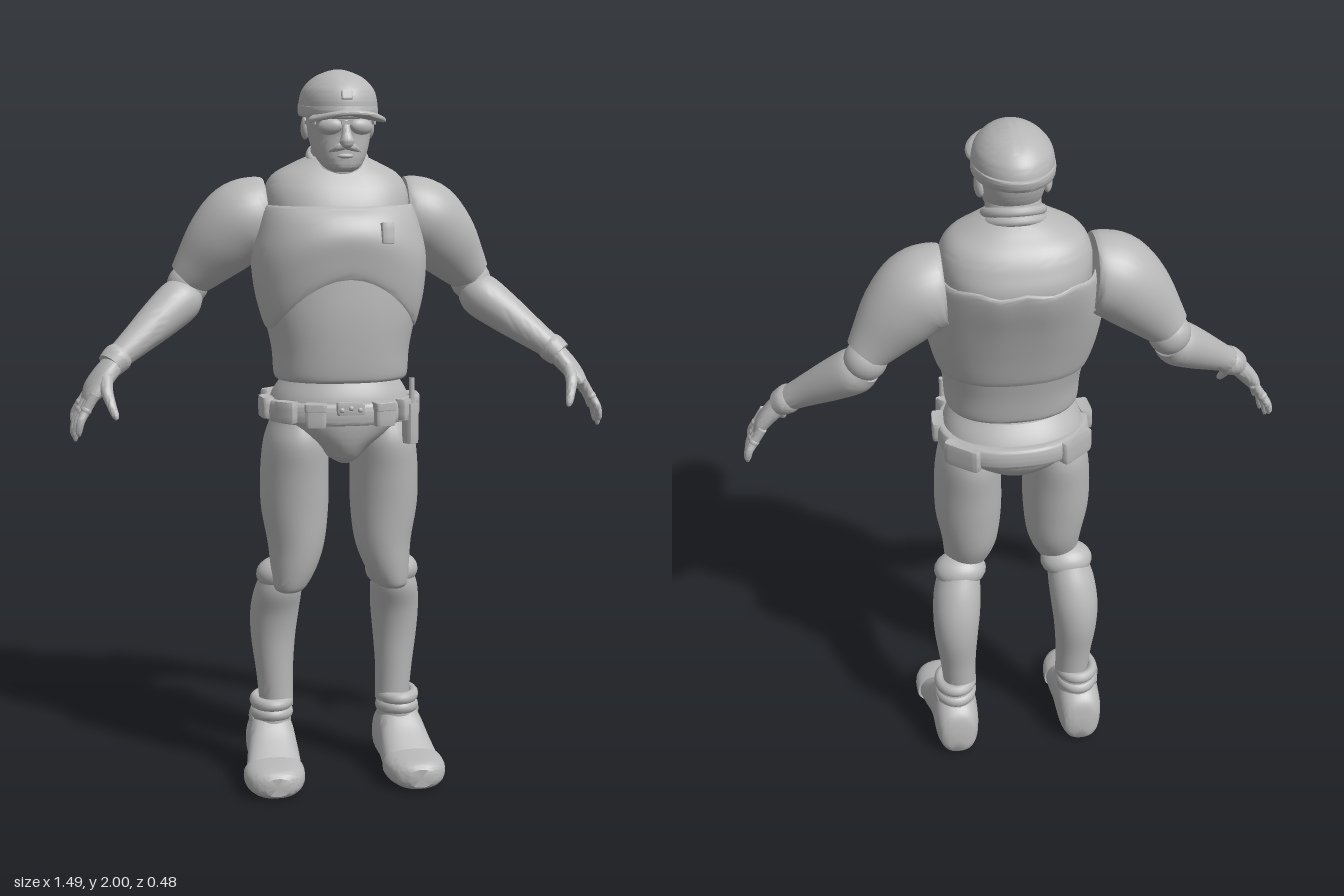
import * as THREE from 'three';
import { toCreasedNormals } from 'three/addons/utils/BufferGeometryUtils.js';

const grey = new THREE.MeshStandardMaterial({ color: 0xb8b8b8, side: THREE.DoubleSide });
grey.name = 'plain grey';
const Y = [0, 1, 0], Z = [0, 0, 1], X = [1, 0, 0];

// Smooth curve through rows of numbers
function spline(rows, steps) {
  const out = [], last = rows.length - 1;
  for (let i = 0; i < last; i++) {
    const [a, b, c, d] = [i - 1, i, i + 1, i + 2].map((k) => rows[Math.min(last, Math.max(0, k))]);
    for (let s = 0; s < steps; s++) {
      const t = s / steps;
      out.push(b.map((v, k) => v + 0.5 * t * (c[k] - a[k] + t * (2 * a[k] - 5 * v + 4 * c[k] - d[k] + t * (3 * (v - c[k]) + d[k] - a[k])))));
    }
  }
  out.push(rows[last]);
  return out;
}

// Skin over elliptical sections; each row is x, y, z, radius along ref, radius across it
function loft(rows, { ref = X, axis = null, n = 2, seg = 32, steps = 5, caps = true, warp = null, crease = 0.7 } = {}) {
  const path = spline(rows, steps), pos = [], idx = [], m = path.length;
  const at = (i) => new THREE.Vector3(...path[Math.min(m - 1, Math.max(0, i))].slice(0, 3));
  const pw = (v) => Math.sign(v) * Math.abs(v) ** (2 / n);
  path.forEach((r, i) => {
    const T = axis ? new THREE.Vector3(...axis) : at(i + 1).sub(at(i - 1)).normalize();
    const U = new THREE.Vector3(...ref);
    U.addScaledVector(T, -U.dot(T)).normalize();
    const V = T.clone().cross(U);
    for (let j = 0; j < seg; j++) {
      const q = (j / seg) * Math.PI * 2;
      const p = at(i).addScaledVector(U, r[3] * pw(Math.cos(q))).addScaledVector(V, r[4] * pw(Math.sin(q)));
      if (warp) warp(p);
      pos.push(p.x, p.y, p.z);
    }
  });
  for (let i = 0; i < m - 1; i++) for (let j = 0; j < seg; j++) {
    const a = i * seg + j, b = i * seg + (j + 1) % seg;
    idx.push(a, b, b + seg, a, b + seg, a + seg);
  }
  if (caps) {
    for (const i of [0, m - 1]) {
      const c = at(i), k = pos.length / 3;
      if (warp) warp(c);
      pos.push(c.x, c.y, c.z);
      for (let j = 0; j < seg; j++) {
        const a = i * seg + j, b = i * seg + (j + 1) % seg;
        if (i) idx.push(k, a, b); else idx.push(k, b, a);
      }
    }
  }
  const g = new THREE.BufferGeometry();
  g.setAttribute('position', new THREE.Float32BufferAttribute(pos, 3));
  g.setIndex(idx);
  return toCreasedNormals(g, crease);
}

// Horizontal sections given as y, half width, front z, back z
const body = (rows, o = {}) => loft(rows.map(([y, w, f, b]) => [0, y, (f + b) / 2, w, (f - b) / 2]), { axis: Y, seg: 48, ...o });
const mirror = (rows, s) => rows.map(([x, ...r]) => [s * x, ...r]);

export function createModel() {
  const model = new THREE.Group();
  const add = (name, geo, p = [0, 0, 0], r = [0, 0, 0], sc = [1, 1, 1]) => {
    const mesh = new THREE.Mesh(geo, grey);
    mesh.name = name;
    mesh.position.set(...p);
    mesh.rotation.set(...r);
    mesh.scale.set(...sc);
    model.add(mesh);
    return mesh;
  };
  const ball = new THREE.SphereGeometry(1, 24, 16);
  // Soft-edged pad with its centre at the origin
  const pad = (w, h, d) => loft([[0, -h / 2, 0, w * 0.42, d * 0.4], [0, -h * 0.42, 0, w / 2, d / 2], [0, h * 0.42, 0, w / 2, d / 2], [0, h / 2, 0, w * 0.42, d * 0.4]],
    { axis: Y, n: 6, seg: 24, steps: 3 });

  // Torso
  add('abdomen', body([[1.163, 0.17, 0.17, -0.1], [1.175, 0.184, 0.182, -0.108], [1.25, 0.19, 0.19, -0.12], [1.35, 0.21, 0.193, -0.142], [1.47, 0.22, 0.187, -0.16]], { n: 2.3 }));
  add('upperTorso', body([[1.45, 0.2, 0.17, -0.17], [1.6, 0.2, 0.14, -0.205], [1.67, 0.198, 0.115, -0.19], [1.715, 0.175, 0.085, -0.165], [1.745, 0.125, 0.06, -0.13], [1.768, 0.075, 0.045, -0.1]], { n: 2.4 }));
  const arch = (p) => {
    const t = THREE.MathUtils.clamp((1.63 - p.y) / 0.32, 0, 1);
    p.y += t * 0.14 * Math.max(0, 1 - (p.x / 0.2) ** 2) * THREE.MathUtils.smoothstep(p.z, 0, 0.13);
    if (p.z < -0.1) p.y += (1 - t) * 0.006 * Math.cos(p.x * 50);
  };
  add('chestArmour', body([[1.31, 0.196, 0.175, -0.125], [1.31, 0.208, 0.191, -0.138], [1.4, 0.232, 0.2, -0.165], [1.5, 0.24, 0.204, -0.198], [1.58, 0.226, 0.186, -0.228], [1.63, 0.212, 0.158, -0.24], [1.631, 0.202, 0.147, -0.228], [1.57, 0.205, 0.15, -0.21], [1.48, 0.205, 0.16, -0.18]],
    { n: 2.4, caps: false, warp: arch }));
  add('chestRadio', pad(0.034, 0.054, 0.026), [0.1, 1.568, 0.188], [-0.15, 0.1, 0]);

  // Hips and belt
  add('pelvis', body([[0.935, 0.02, 0.12, 0.02], [0.95, 0.045, 0.148, -0.03], [0.985, 0.085, 0.17, -0.1], [1.025, 0.15, 0.182, -0.145], [1.07, 0.196, 0.187, -0.165], [1.12, 0.188, 0.183, -0.145], [1.165, 0.16, 0.166, -0.112]], { n: 2.2 }));
  add('belt', body([[1.05, 0.195, 0.178, -0.16], [1.052, 0.208, 0.191, -0.174], [1.08, 0.212, 0.195, -0.178], [1.106, 0.206, 0.19, -0.172], [1.11, 0.19, 0.175, -0.15]],
    { n: 2.2, caps: false, warp: (p) => { if (p.z < 0) p.y -= p.z * 0.06; } }));
  add('buckle', pad(0.075, 0.034, 0.02), [0, 1.098, 0.193]);
  for (const x of [-0.025, 0, 0.025]) add('buckleStud', ball, [x, 1.1 - Math.abs(x) * 0.2, 0.203], [0, 0, 0], [0.007, 0.007, 0.005]);
  for (const s of [-1, 1]) {
    add('frontPouch', pad(0.056, 0.062, 0.036), [s * 0.094, 1.08, 0.186], [0, s * 0.2, 0]);
    add('pouchFlap', pad(0.06, 0.022, 0.042), [s * 0.094, 1.102, 0.186], [0, s * 0.2, 0]);
    add('sidePouch', pad(0.064, 0.056, 0.036), [s * 0.165, 1.085, 0.135], [0, s * 0.8, 0]);
    add('hipPouch', pad(0.075, 0.056, 0.034), [s * 0.206, 1.085, 0.03], [0, s * 1.5, 0]);
    add('rearPouch', pad(0.11, 0.064, 0.034), [s * 0.155, 1.083, -0.118], [0, s * 2.45, 0]);
  }
  add('holster', pad(0.034, 0.11, 0.036), [0.177, 1.045, 0.14], [0, 0.6, 0]);
  add('baton', new THREE.CylinderGeometry(0.008, 0.008, 0.1, 12), [0.18, 1.12, 0.14]);

  // Neck and head
  add('neck', loft([[0, 1.69, -0.05, 0.085, 0.075], [0, 1.75, -0.02, 0.076, 0.072], [0, 1.83, 0.01, 0.07, 0.07]]));
  for (const [y, z, r] of [[1.738, -0.012, 0.079], [1.762, -0.008, 0.073]])
    add('collar', new THREE.TorusGeometry(r, 0.014, 12, 40), [0, y, z], [Math.PI / 2 + 0.44, 0, 0], [1, 1.12, 1]);
  add('head', body([[1.727, 0.026, 0.1, 0.035], [1.738, 0.048, 0.112, 0.0], [1.76, 0.064, 0.116, -0.03], [1.79, 0.076, 0.116, -0.06], [1.83, 0.085, 0.116, -0.084], [1.87, 0.09, 0.124, -0.095], [1.91, 0.088, 0.115, -0.1]], { n: 2.2 }));
  add('nose', loft([[0, 1.865, 0.11, 0.01, 0.012], [0, 1.83, 0.128, 0.013, 0.014], [0, 1.808, 0.135, 0.02, 0.018], [0, 1.797, 0.13, 0.012, 0.012]], { seg: 16 }));
  add('moustache', loft([[-0.042, 1.782, 0.1, 0.004, 0.004], [-0.02, 1.793, 0.116, 0.01, 0.01], [0, 1.796, 0.12, 0.009, 0.01], [0.02, 1.793, 0.116, 0.01, 0.01], [0.042, 1.782, 0.1, 0.004, 0.004]], { ref: Y, seg: 14 }));
  add('lowerLip', ball, [0, 1.77, 0.113], [0, 0, 0], [0.022, 0.007, 0.009]);
  add('glassesBridge', new THREE.BoxGeometry(0.03, 0.008, 0.012), [0, 1.858, 0.132]);
  for (const s of [-1, 1]) {
    add('glassesLens', ball, [s * 0.042, 1.848, 0.116], [0, s * 0.35, s * -0.1], [0.034, 0.022, 0.018]);
    add('glassesArm', new THREE.BoxGeometry(0.005, 0.01, 0.12), [s * 0.087, 1.858, 0.05], [0, s * -0.1, 0]);
    add('ear', ball, [s * 0.088, 1.845, -0.01], [0.2, s * 0.25, 0], [0.013, 0.034, 0.022]);
  }

  // Cap
  add('capDome', body([[1.885, 0.104, 0.138, -0.138], [1.91, 0.106, 0.14, -0.142], [1.945, 0.097, 0.128, -0.13], [1.975, 0.07, 0.094, -0.098], [1.992, 0.036, 0.052, -0.056], [1.999, 0.01, 0.015, -0.018]]));
  add('capBand', body([[1.875, 0.09, 0.12, -0.12], [1.875, 0.105, 0.138, -0.142], [1.89, 0.108, 0.143, -0.15], [1.906, 0.106, 0.141, -0.151], [1.906, 0.095, 0.128, -0.13]],
    { caps: false, warp: (p) => { p.y -= p.z * 0.045; } }));
  add('capBrim', body([[1.876, 0.09, 0.222, 0.03], [1.879, 0.102, 0.234, 0.03], [1.888, 0.102, 0.235, 0.03], [1.892, 0.09, 0.225, 0.03]],
    { n: 2.2, steps: 3, warp: (p) => { p.y -= 1.9 * p.x * p.x; } }));
  add('capBadge', pad(0.03, 0.024, 0.012), [0, 1.93, 0.133], [-0.4, 0, 0]);

  for (const s of [-1, 1]) {
    const limb = (name, rows, o) => add(name, loft(mirror(rows, s), o));
    const arm = { ref: Y };

    // Arm
    limb('upperArm', [[0.195, 1.605, -0.075, 0.1, 0.1], [0.215, 1.602, -0.075, 0.11, 0.112], [0.262, 1.582, -0.077, 0.113, 0.116], [0.32, 1.525, -0.085, 0.1, 0.1], [0.375, 1.462, -0.097, 0.074, 0.07], [0.405, 1.428, -0.105, 0.058, 0.055]], arm);
    add('elbow', ball, [s * 0.405, 1.412, -0.107], [0, 0, 0], [0.058, 0.058, 0.055]);
    limb('forearm', [[0.4, 1.393, -0.107, 0.045, 0.048], [0.43, 1.37, -0.088, 0.062, 0.064], [0.49, 1.323, -0.052, 0.056, 0.058], [0.56, 1.268, -0.01, 0.043, 0.045], [0.615, 1.226, 0.02, 0.033, 0.037]], arm);
    limb('wristCuff', [[0.6, 1.238, 0.012, 0.036, 0.04], [0.612, 1.228, 0.018, 0.04, 0.046], [0.632, 1.21, 0.03, 0.036, 0.042]], arm);

    // Hand
    limb('palm', [[0.615, 1.222, 0.025, 0.028, 0.034], [0.65, 1.185, 0.04, 0.026, 0.046], [0.68, 1.145, 0.052, 0.022, 0.053], [0.698, 1.118, 0.056, 0.015, 0.048]], { ...arm, n: 2.4 });
    [[0.004, 0.7, 1.125, 0.075], [0.04, 0.702, 1.118, 0.1], [0.074, 0.698, 1.115, 0.102], [0.106, 0.69, 1.122, 0.09]].forEach(([z, x, y, len]) => {
      const z2 = z + (z - 0.05) * 0.2;
      limb('finger', [[x - 0.012, y + 0.02, z, 0.012, 0.013], [x + 0.013, y - len * 0.25, z, 0.013, 0.013], [x + 0.028, y - len * 0.55, z2, 0.0115, 0.011], [x + 0.034, y - len * 0.85, z2, 0.01, 0.009], [x + 0.034, y - len, z2, 0.004, 0.004]], { ref: Z, seg: 12 });
      add('knuckle', ball, [s * (x + 0.013), y - len * 0.25, z], [0, 0, 0], [0.0145, 0.014, 0.0145]);
    });
    limb('thumb', [[0.645, 1.18, 0.07, 0.018, 0.018], [0.647, 1.15, 0.1, 0.017, 0.017], [0.637, 1.115, 0.128, 0.013, 0.013], [0.628, 1.09, 0.145, 0.01, 0.01], [0.624, 1.08, 0.151, 0.004, 0.004]], { seg: 14 });

    // Leg
    const flat = { axis: Y };
    limb('thigh', [[0.15, 0.562, 0.055, 0.026, 0.025], [0.145, 0.575, 0.045, 0.045, 0.05], [0.132, 0.63, 0.035, 0.065, 0.073], [0.124, 0.7, 0.024, 0.08, 0.092], [0.127, 0.8, 0.02, 0.094, 0.105], [0.127, 0.9, 0.02, 0.095, 0.117], [0.124, 0.99, 0.02, 0.088, 0.128], [0.12, 1.05, 0.015, 0.07, 0.115]], flat);
    add('knee', ball, [s * 0.157, 0.6, -0.008], [0, 0, 0], [0.076, 0.052, 0.062]);
    limb('shin', [[0.17, 0.2, -0.055, 0.048, 0.052], [0.175, 0.3, -0.058, 0.053, 0.058], [0.178, 0.4, -0.062, 0.063, 0.068], [0.175, 0.48, -0.052, 0.069, 0.073], [0.168, 0.55, -0.028, 0.067, 0.074], [0.16, 0.605, -0.012, 0.055, 0.058]], flat);
    limb('bootTop', [[0.188, 0.08, -0.065, 0.06, 0.075], [0.186, 0.14, -0.06, 0.058, 0.07], [0.185, 0.19, -0.056, 0.057, 0.064], [0.184, 0.215, -0.055, 0.052, 0.058]], flat);
    for (const [y, tilt] of [[0.214, 0.04], [0.18, -0.08]])
      add('ankleStrap', new THREE.TorusGeometry(0.052, 0.016, 12, 36), [s * 0.185, y, -0.056], [Math.PI / 2 + tilt, 0, 0], [0.92, 1.1, 1.15]);
    add('ankleDisc', ball, [s * 0.24, 0.165, -0.06], [0, 0, 0], [0.01, 0.026, 0.026]);

    // Boot
    const sole = { axis: Z, n: 2.5, warp: (p) => { p.y = Math.max(0, p.y); } };
    limb('boot', [[0.188, 0.052, -0.16, 0.03, 0.035], [0.188, 0.07, -0.148, 0.052, 0.067], [0.188, 0.084, -0.115, 0.064, 0.083], [0.188, 0.094, -0.06, 0.067, 0.094], [0.19, 0.088, -0.01, 0.069, 0.088], [0.194, 0.066, 0.04, 0.075, 0.066], [0.2, 0.045, 0.1, 0.08, 0.045]], sole);
    limb('toeCap', [[0.199, 0.046, 0.085, 0.081, 0.045], [0.2, 0.046, 0.09, 0.086, 0.047], [0.202, 0.044, 0.14, 0.083, 0.044], [0.203, 0.042, 0.18, 0.065, 0.039], [0.203, 0.04, 0.2, 0.033, 0.026]], sole);
  }
  return model;
}
